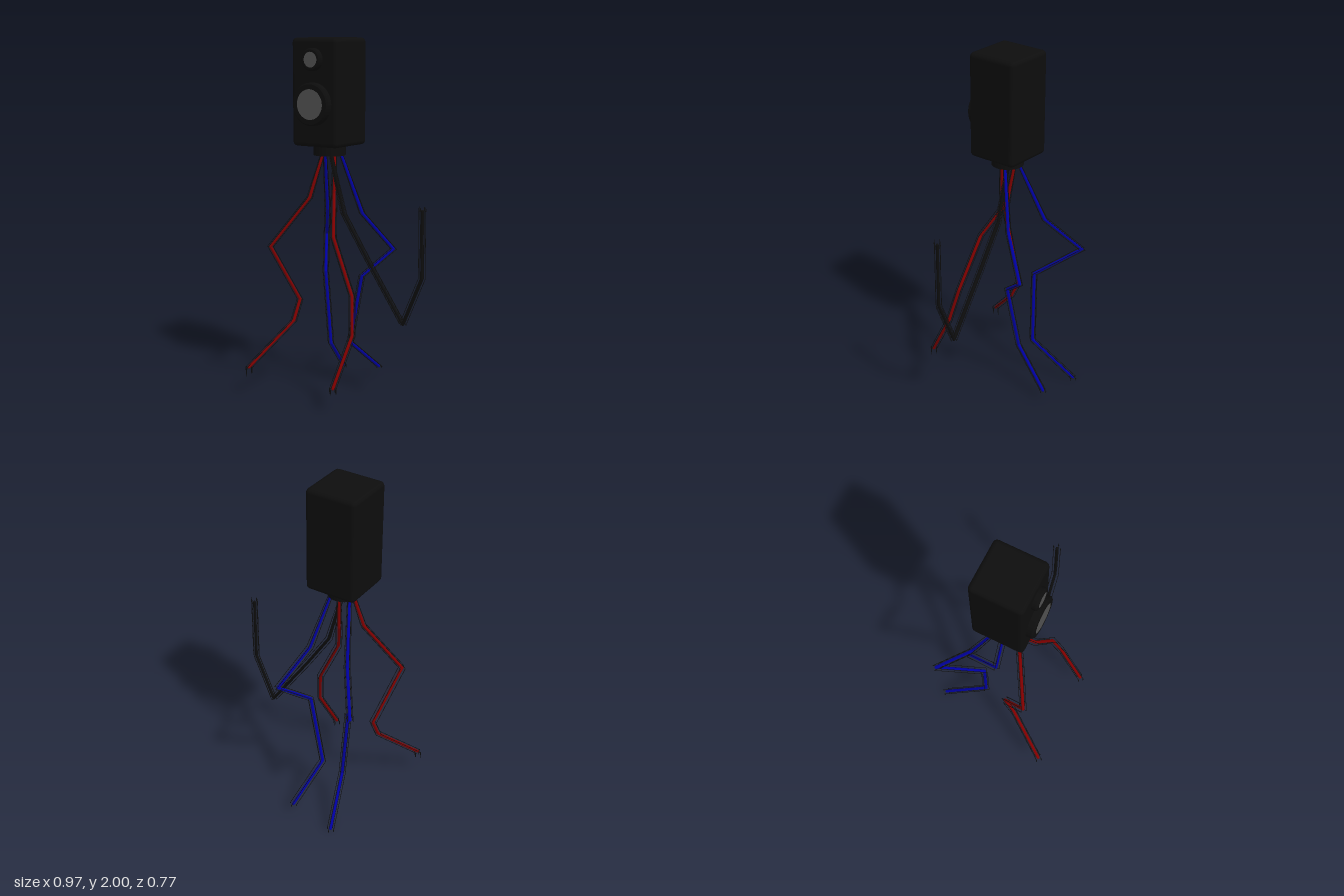
import * as THREE from 'three';
import { RoundedBoxGeometry } from 'three/addons/geometries/RoundedBoxGeometry.js';

const mat = (color) => new THREE.MeshStandardMaterial({ color });
const BLACK = mat(0x0d0d0d), GREY = mat(0x505050), RED = mat(0x800000), BLUE = mat(0x0000a0);
const UP = new THREE.Vector3(0, 1, 0);

function add(parent, name, geometry, material, x, y, z) {
  const mesh = new THREE.Mesh(geometry, material);
  mesh.name = name;
  mesh.position.set(x, y, z);
  parent.add(mesh);
  return mesh;
}

// Rods between successive points, with a ball at each joint
function rodChain(parent, name, points, radius, material, sides) {
  points.forEach((p, i) => {
    add(parent, name + 'Joint', new THREE.SphereGeometry(radius, sides, 6), material, p.x, p.y, p.z);
    if (!i) return;
    const a = points[i - 1], d = p.clone().sub(a), mid = a.clone().add(p).multiplyScalar(0.5);
    const rod = add(parent, name + 'Rod', new THREE.CylinderGeometry(radius, radius, d.length(), sides),
      material, mid.x, mid.y, mid.z);
    rod.quaternion.setFromUnitVectors(UP, d.normalize());
  });
}

// A thick jointed core with four thin wires running beside it, each ending in a claw
function limb(name, coords, material, clawLength) {
  const group = new THREE.Group();
  group.name = name;
  const points = coords.map((c) => new THREE.Vector3(...c));
  rodChain(group, 'core', points, 0.0085, material, 10);
  for (const [dx, dz] of [[1, 0], [-1, 0], [0, 1], [0, -1]]) {
    const wire = points.map((p, i) => {
      const spread = i === 0 ? 0.012 : 0.021;
      return new THREE.Vector3(p.x + dx * spread, p.y, p.z + dz * spread);
    });
    rodChain(group, 'wire', wire, 0.0017, BLACK, 5);
    const end = wire[wire.length - 1];
    const claw = add(group, 'claw', new THREE.ConeGeometry(0.004, Math.abs(clawLength), 6), BLACK,
      end.x, end.y + clawLength / 2, end.z);
    if (clawLength < 0) claw.rotation.x = Math.PI;
  }
  return group;
}

// Round driver housing with a softened front edge and a grey cone face
function driver(name, y, radius, faceRadius, front) {
  const group = new THREE.Group();
  group.name = name;
  group.position.set(-0.14, y, 0.15);
  const depth = front - 0.15, r = 0.008;
  const profile = [[radius, 0], [radius, depth - r], [radius - r, depth], [0, depth]]
    .map(([a, b]) => new THREE.Vector2(a, b));
  const shell = new THREE.LatheGeometry(profile, 40).toNonIndexed();
  shell.computeVertexNormals();
  add(group, 'housing', shell, BLACK, 0, 0, 0).rotation.x = Math.PI / 2;
  add(group, 'coneFace', new THREE.CircleGeometry(faceRadius, 40), GREY, 0, 0, depth + 0.001);
  return group;
}

export function createModel() {
  const model = new THREE.Group();
  model.name = 'walkingSpeaker';

  // Cabinet head and collar
  add(model, 'cabinet', new RoundedBoxGeometry(0.3, 0.59, 0.3, 2, 0.025), BLACK, -0.14, 1.705, 0.01);
  add(model, 'collar', new THREE.CylinderGeometry(0.09, 0.09, 0.065, 32), BLACK, -0.14, 1.3875, 0.01);
  model.add(driver('upperDriver', 1.885, 0.062, 0.042, 0.19));
  model.add(driver('lowerDriver', 1.645, 0.117, 0.083, 0.199));

  // Front legs
  model.add(limb('rightFrontLeg', [
    [-0.15, 1.37, 0.06], [-0.21, 1.12, 0.105], [-0.4, 0.84, 0.22],
    [-0.315, 0.515, 0.06], [-0.32, 0.4, 0.115], [-0.46, 0.16, 0.355],
  ], RED, -0.05));
  model.add(limb('leftFrontLeg', [
    [-0.14, 1.37, -0.04], [-0.12, 1.135, -0.005], [-0.04, 0.915, 0.12],
    [0.11, 0.61, 0.16], [0.145, 0.405, 0.21], [0.12, 0.14, 0.36],
  ], RED, -0.04));

  // Back legs
  model.add(limb('rightBackLeg', [
    [-0.19, 1.37, -0.015], [-0.27, 1.015, -0.155], [-0.4, 0.83, -0.33],
    [-0.25, 0.655, -0.105], [-0.225, 0.225, -0.12], [-0.305, 0.02, -0.365],
  ], BLUE, -0.02));
  model.add(limb('leftBackLeg', [
    [-0.085, 1.37, -0.015], [0, 1.02, -0.11], [0.105, 0.8, -0.275],
    [0, 0.66, -0.105], [-0.09, 0.255, -0.12], [-0.035, 0.06, -0.345],
  ], BLUE, -0.01));

  // Raised arm
  model.add(limb('arm', [
    [-0.14, 1.37, 0.003], [-0.05, 1.03, 0.003], [0.1, 0.8, 0.003],
    [0.34, 0.45, 0.003], [0.457, 0.72, 0.003], [0.457, 1.09, 0.003],
  ], BLACK, 0.03));

  return model;
}
